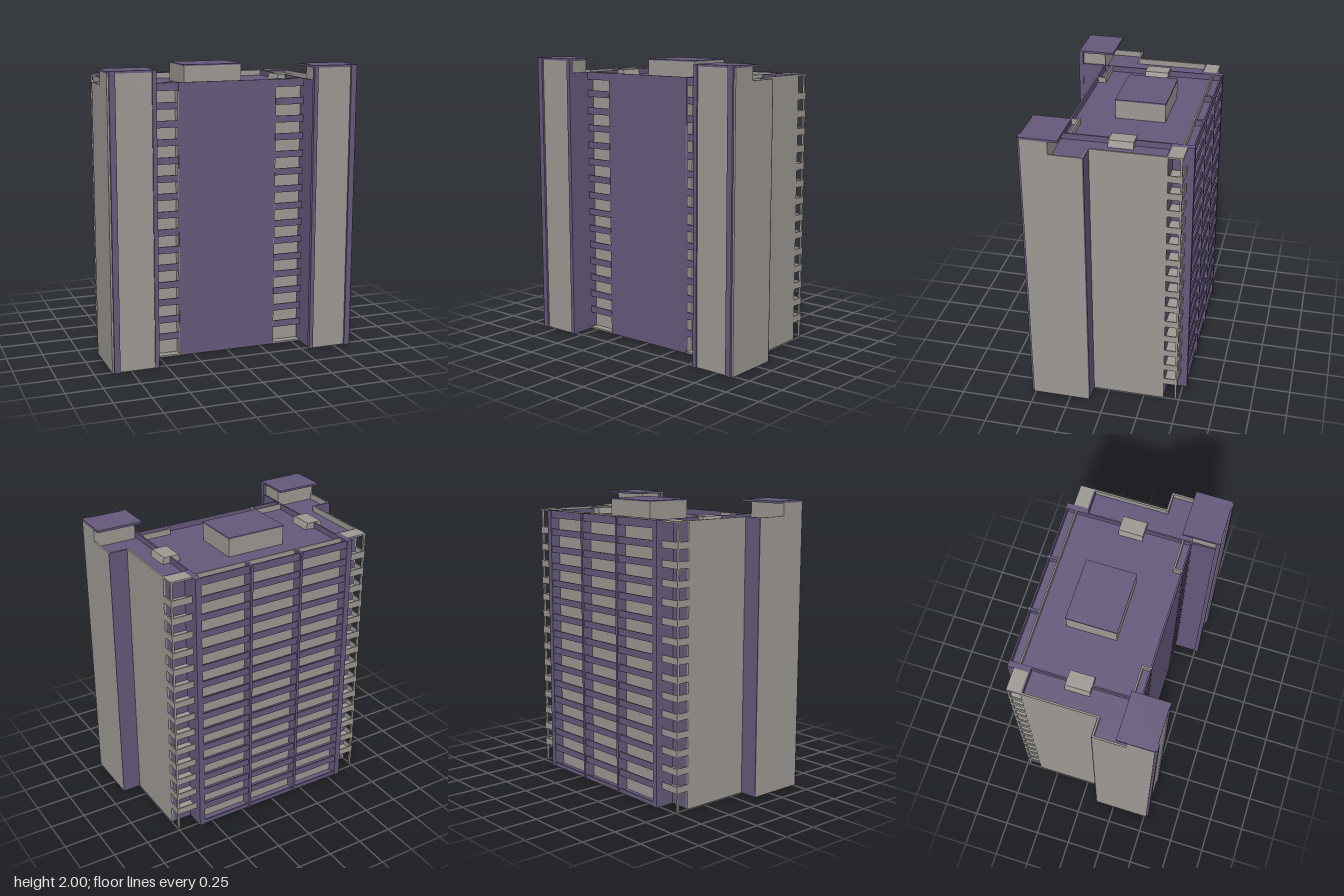
import * as THREE from 'three';

const gray = new THREE.MeshStandardMaterial({ color: 0x9d9993 });
gray.name = 'warm gray concrete';
const purple = new THREE.MeshStandardMaterial({ color: 0x65597b });
purple.name = 'muted purple paint';

const ROOF = 1.86, TOP = 1.9, FLOOR = 0.123, FIRST = 0.125, BAND = 0.047, T = 0.012;

// Box given by its minimum and maximum corners
function block(parent, name, material, x0, x1, y0, y1, z0, z1) {
  const mesh = new THREE.Mesh(new THREE.BoxGeometry(Math.abs(x1 - x0), y1 - y0, z1 - z0), material);
  mesh.position.set((x0 + x1) / 2, (y0 + y1) / 2, (z0 + z1) / 2);
  mesh.name = name;
  parent.add(mesh);
  return mesh;
}

// Everything that appears once on each side of the building
function buildSide(s) {
  const g = new THREE.Group();
  g.name = s > 0 ? 'leftSide' : 'rightSide';
  const b = (name, mat, x0, x1, y0, y1, z0, z1) => block(g, name, mat, s * x0, s * x1, y0, y1, z0, z1);

  // Wing walls and roof
  b('wingSideWall', gray, 0.75 - T, 0.75, 0, TOP, -0.39, 0.12);
  b('wingBackWall', purple, 0.6, 0.75 - T, 0, TOP, -0.39, -0.39 + T);
  b('wingRoof', purple, 0.56, 0.75 - T, ROOF - 0.02, ROOF, -0.378, 0.27);
  b('roofDivider', purple, 0.56, 0.57, ROOF, TOP, -0.39, 0.285);

  // Stair tower
  b('towerStepWall', purple, 0.75 - T, 0.88, 0, TOP, 0.11, 0.118);
  b('towerStepCoping', gray, 0.75 - T, 0.88 - T, 0, TOP, 0.118, 0.126);
  b('towerSideWall', gray, 0.88 - T, 0.88, 0, TOP, 0.118, 0.515);
  b('towerFrontWall', gray, 0.565, 0.88 - T, 0, 1.985, 0.515 - T, 0.515);
  b('towerInnerWall', purple, 0.56, 0.57, 0, TOP, 0.285, 0.503);
  b('towerRoof', purple, 0.57, 0.88 - T, ROOF - 0.02, ROOF, 0.126, 0.503);
  b('towerHead', gray, 0.58, 0.88, ROOF, 1.985, 0.335, 0.515);
  b('towerCap', purple, 0.555, 0.88, 1.985, 2, 0.27, 0.52);
  b('outerPilaster', purple, 0.828, 0.868, 0, 2, 0.505, 0.53);
  b('innerPilaster', purple, 0.555, 0.583, 0, 2, 0.495, 0.525);

  // Front recessed balconies
  b('recessWall', gray, 0.35, 0.56, 0, TOP, 0.273, 0.285);
  b('recessReturn', gray, 0.343, 0.355, 0, TOP, 0.273, 0.338);
  b('recessFloor', gray, 0.355, 0.56, 0, 0.012, 0.285, 0.338);
  for (let i = 0; i < 15; i++) {
    const y = FIRST + i * FLOOR;
    b('recessSlab', purple, 0.355, 0.56, y, y + 0.012, 0.268, 0.335);
    b('recessParapet', purple, 0.352, 0.56, y, i === 14 ? TOP : y + BAND, 0.33, 0.34);
  }

  // Corner balconies with post
  b('cornerFin', purple, 0.56, 0.6, 0, TOP, -0.53, -0.378);
  b('cornerPost', gray, 0.735, 0.749, 0, TOP, -0.481, -0.467);
  for (let i = 0; i < 14; i++) {
    const y = FIRST + i * FLOOR;
    b('cornerSlab', gray, 0.6, 0.75, y, y + 0.01, -0.485, -0.39);
    b('cornerSideParapet', gray, 0.742, 0.75, y, y + BAND, -0.485, -0.39);
    b('cornerBackParapet', gray, 0.6, 0.742, y, y + BAND, -0.485, -0.477);
  }
  b('cornerCanopy', gray, 0.6, 0.75, 1.888, TOP, -0.485, -0.39);

  // Long rear fin
  b('rearFin', purple, 0.182, 0.2, 0, TOP, -0.535, -0.455);

  // Roof vent with sloped sides
  const profile = new THREE.Shape([
    new THREE.Vector2(-0.066, 0), new THREE.Vector2(0.066, 0),
    new THREE.Vector2(0.052, 0.045), new THREE.Vector2(-0.052, 0.045),
  ]);
  const vent = new THREE.Mesh(new THREE.ExtrudeGeometry(profile, { depth: 0.165, bevelEnabled: false }), gray);
  vent.position.set(s * 0.56, ROOF, -0.145);
  vent.name = 'roofVent';
  g.add(vent);
  return g;
}

export function createModel() {
  const model = new THREE.Group();
  model.name = 'apartmentBlock';
  model.add(buildSide(1), buildSide(-1));

  // Central shell, open underneath
  block(model, 'frontWall', purple, -0.35, 0.35, 0, TOP, 0.328, 0.34);
  block(model, 'rearWall', gray, -0.56, 0.56, 0, TOP, -0.46, -0.45);
  block(model, 'mainRoof', purple, -0.56, 0.56, ROOF - 0.02, ROOF, -0.45, 0.273);
  block(model, 'mainRoofFront', purple, -0.343, 0.343, ROOF - 0.02, ROOF, 0.273, 0.328);

  // Rear balconies
  block(model, 'rearBase', purple, -0.56, 0.56, 0, 0.03, -0.525, -0.515);
  block(model, 'rearBaseSlab', purple, -0.56, 0.56, 0, 0.012, -0.515, -0.46);
  for (let i = 0; i < 15; i++) {
    const y = FIRST + i * FLOOR;
    block(model, 'rearSlab', purple, -0.56, 0.56, y, y + 0.012, -0.515, -0.46);
    block(model, 'rearParapet', purple, -0.56, 0.56, y, i === 14 ? TOP : y + BAND, -0.525, -0.515);
  }

  // Rooftop plant room
  block(model, 'plantRoom', gray, -0.22, 0.2, ROOF, 1.985, -0.265, 0.07);
  block(model, 'plantRoomRoof', purple, -0.223, 0.202, 1.985, 1.994, -0.268, 0.073);
  return model;
}
